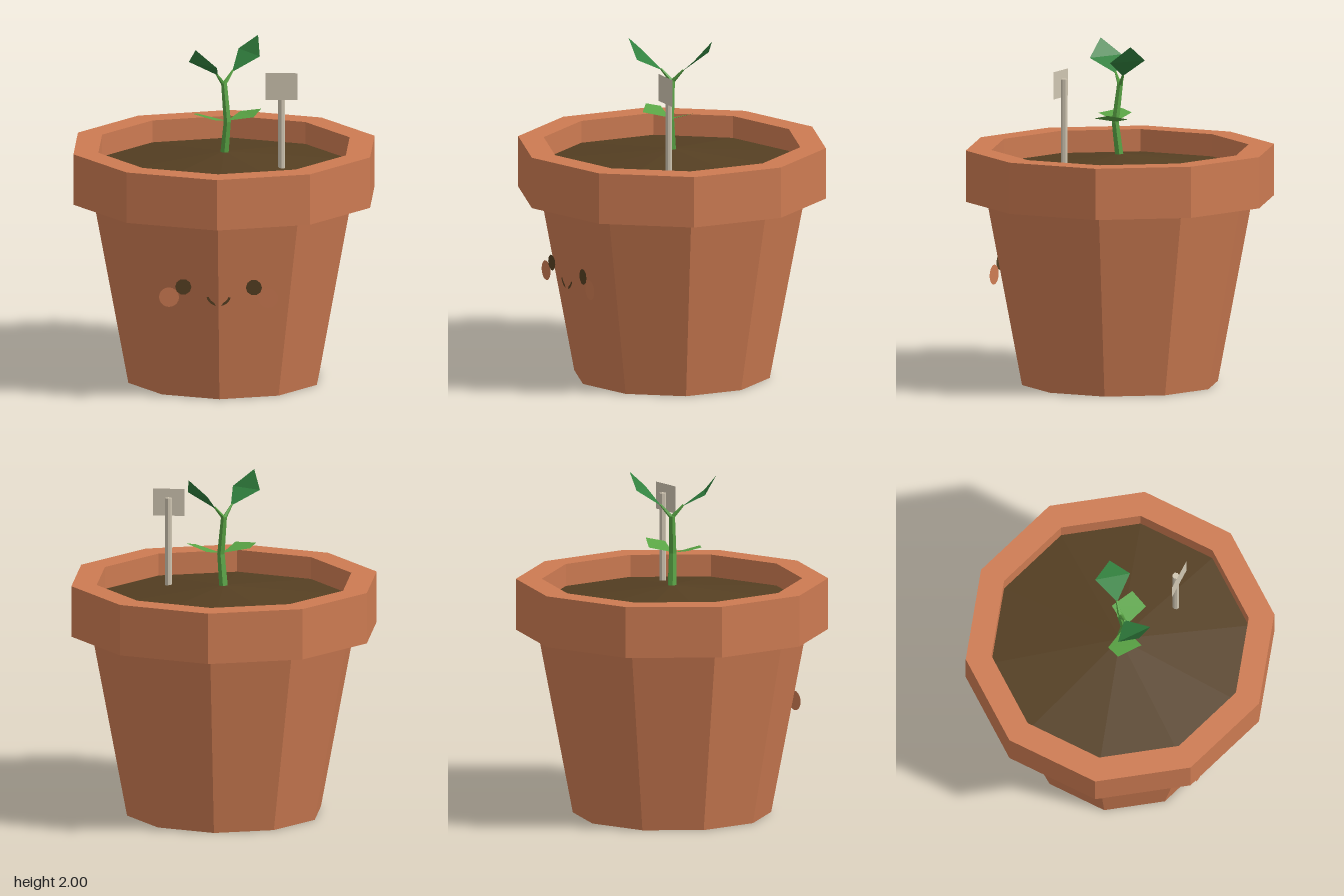
import * as THREE from 'three';

const mat = (name, color, side = THREE.FrontSide) =>
  Object.assign(new THREE.MeshStandardMaterial({ color, side }), { name });

// Flat facets: unshared vertices with face normals
function facet(geo) {
  const g = geo.index ? geo.toNonIndexed() : geo;
  g.computeVertexNormals();
  return g;
}

export function createModel() {
  const terracotta = mat('terracotta', 0xcd7b52, THREE.DoubleSide);
  const soilBrown = mat('soilBrown', 0x553f22, THREE.DoubleSide);
  const lightGreen = mat('lightGreen', 0x5aa545, THREE.DoubleSide);
  const darkGreen = mat('darkGreen', 0x32823f, THREE.DoubleSide);
  const paleWood = mat('paleWood', 0xcfc5b1, THREE.DoubleSide);

  const model = new THREE.Group();
  model.name = 'pottedSprout';
  const add = (name, geo, material, x = 0, y = 0, z = 0, parent = model) => {
    const mesh = new THREE.Mesh(geo, material);
    mesh.name = name;
    mesh.position.set(x, y, z);
    parent.add(mesh);
    return mesh;
  };
  const group = (name) => {
    const g = new THREE.Group();
    g.name = name;
    model.add(g);
    return g;
  };

  // Ten-sided pot, rim and soil mound
  const turned = (profile) =>
    facet(new THREE.LatheGeometry(profile.map(([r, y]) => new THREE.Vector2(r, y)), 10));
  add('potBody', turned([[0, 0], [0.575, 0], [0.78, 1.08]]), terracotta);
  add('potRim', turned([[0.78, 1.08], [0.905, 1.08], [0.905, 1.38], [0.755, 1.38], [0.755, 1.24]]), terracotta);
  add('soil', facet(new THREE.ConeGeometry(0.755, 0.095, 10, 1, true)), soilBrown, 0, 1.2975, 0);

  // Face: flat discs and a smile just in front of the pot
  const face = group('face');
  for (const [side, s] of [['left', 1], ['right', -1]]) {
    add(side + 'Eye', new THREE.CircleGeometry(0.047, 10), soilBrown, s * 0.205, 0.69, 0.676, face);
    add(side + 'Cheek', new THREE.CircleGeometry(0.058, 20), terracotta, s * 0.288, 0.627, 0.672, face);
  }
  add('smile', new THREE.RingGeometry(0.06, 0.074, 12, 1, Math.PI * 1.1, Math.PI * 0.8),
    soilBrown, 0, 0.652, 0.68, face);

  // Stem, bent sideways at its middle ring
  const plant = group('sprout');
  const stem = new THREE.CylinderGeometry(0.019, 0.028, 0.45, 6, 2);
  const p = stem.attributes.position;
  for (let i = 0; i < p.count; i++) {
    if (Math.abs(p.getY(i)) < 0.01) {
      p.setX(i, p.getX(i) + 0.02);
      p.setZ(i, p.getZ(i) + 0.02);
    }
  }
  add('stem', facet(stem), lightGreen, 0, 1.525, 0, plant);

  // Leaf: a kite creased across its widest line
  const leaf = (name, material, base, sideA, tip, sideB) => {
    const geo = new THREE.BufferGeometry();
    const corners = [base, sideB, sideA, sideA, sideB, tip].flat();
    geo.setAttribute('position', new THREE.Float32BufferAttribute(corners, 3));
    add(name, facet(geo), material, 0, 0, 0, plant);
  };
  // Thin stalk from the stem to a leaf base
  const stalk = (name, material, from, to) => {
    const a = new THREE.Vector3(...from), b = new THREE.Vector3(...to);
    const d = b.clone().sub(a);
    const mid = a.clone().add(b).multiplyScalar(0.5);
    const mesh = add(name, facet(new THREE.CylinderGeometry(0.006, 0.014, d.length(), 5)),
      material, mid.x, mid.y, mid.z, plant);
    mesh.quaternion.setFromUnitVectors(new THREE.Vector3(0, 1, 0), d.normalize());
  };

  leaf('upperLeftLeaf', darkGreen, [0.045, 1.805, -0.042], [0.075, 1.91, -0.2], [0.19, 2, -0.165], [0.206, 1.9, -0.04]);
  stalk('upperLeftStalk', lightGreen, [0, 1.74, 0], [0.05, 1.815, -0.047]);
  leaf('upperRightLeaf', darkGreen, [-0.035, 1.805, 0.045], [-0.03, 1.885, 0.212], [-0.155, 1.99, 0.205], [-0.2, 1.893, 0.09]);
  stalk('upperRightStalk', lightGreen, [0, 1.74, 0], [-0.042, 1.815, 0.052]);
  leaf('lowerLeftLeaf', lightGreen, [0.02, 1.53, 0.02], [0.09, 1.56, -0.1], [0.215, 1.592, -0.03], [0.175, 1.565, 0.08]);
  leaf('lowerRightLeaf', lightGreen, [0.01, 1.53, 0.02], [-0.05, 1.565, 0.165], [-0.18, 1.582, 0.08], [-0.15, 1.565, 0]);

  // Blank plant marker
  const marker = group('plantMarker');
  add('markerPost', facet(new THREE.CylinderGeometry(0.02, 0.02, 0.53, 8)), paleWood, 0.343, 1.545, 0.188, marker);
  add('markerBoard', new THREE.PlaneGeometry(0.185, 0.16), paleWood, 0.343, 1.78, 0.21, marker);

  return model;
}
